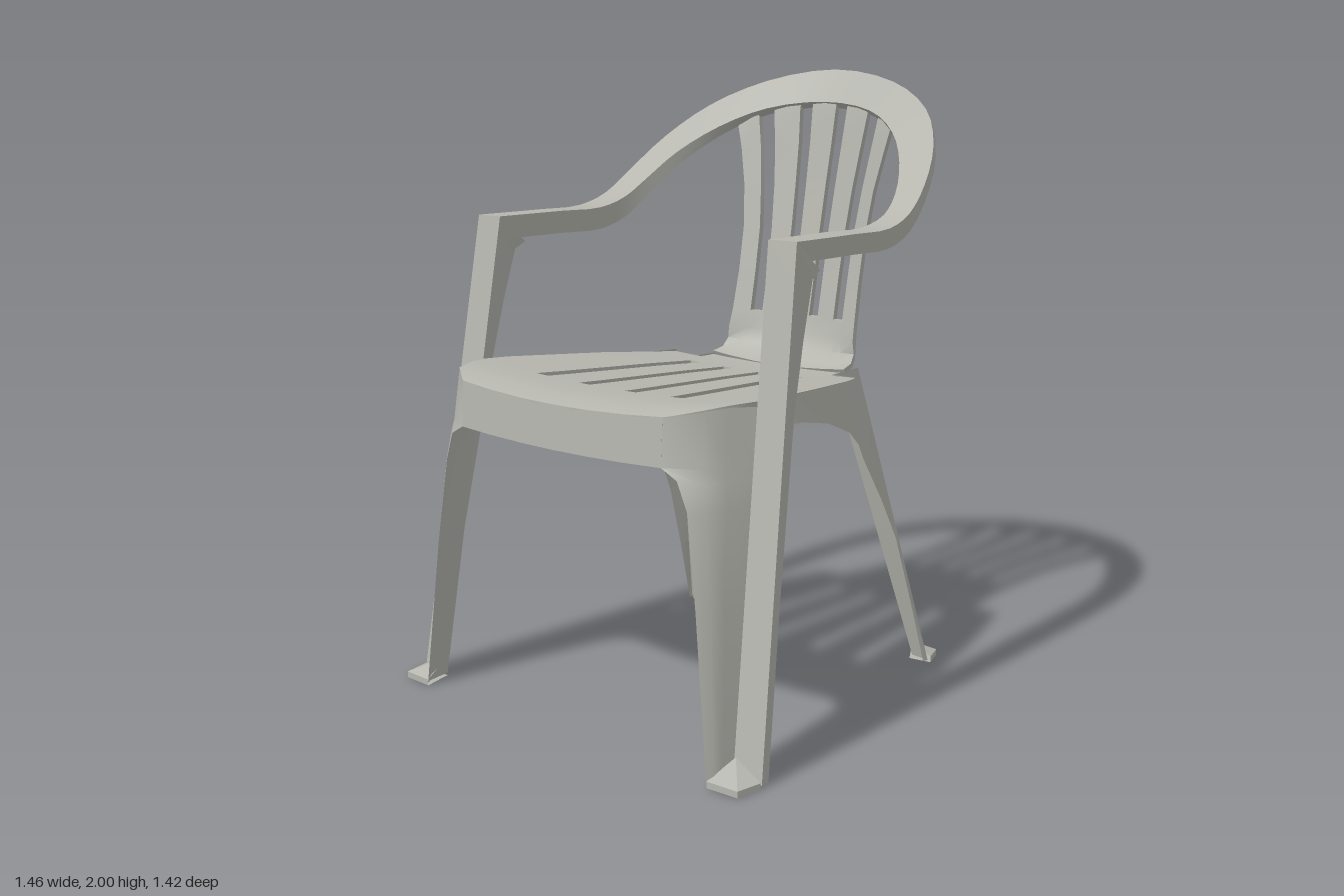
import * as THREE from 'three';
import { toCreasedNormals } from 'three/addons/utils/BufferGeometryUtils.js';

const plastic = new THREE.MeshStandardMaterial({ color: 0xb6b6af, side: THREE.DoubleSide });
plastic.name = 'warm grey plastic';

// Geometry from a list of quads or triangles (arrays of [x, y, z])
function fromFaces(faces, crease = 0.6) {
  const pos = [];
  for (const f of faces) {
    for (let i = 1; i < f.length - 1; i++) pos.push(...f[0], ...f[i], ...f[i + 1]);
  }
  const g = new THREE.BufferGeometry();
  g.setAttribute('position', new THREE.Float32BufferAttribute(pos, 3));
  return toCreasedNormals(g, crease);
}

// Faces of a sheet through rows of matching points
function sheet(rows) {
  const faces = [];
  for (let r = 0; r < rows.length - 1; r++) {
    for (let c = 0; c < rows[r].length - 1; c++) {
      faces.push([rows[r][c], rows[r][c + 1], rows[r + 1][c + 1], rows[r + 1][c]]);
    }
  }
  return faces;
}

const flip = (faces) => faces.map((f) => f.map(([x, y, z]) => [-x, y, z]).reverse());
const mix = (a, b, t) => a.map((v, i) => v + (b[i] - v) * t);

function add(group, name, faces, crease) {
  const mesh = new THREE.Mesh(fromFaces(faces, crease), plastic);
  mesh.name = name;
  group.add(mesh);
}

function addPair(group, name, faces, crease) {
  add(group, name + 'Left', faces, crease);
  add(group, name + 'Right', flip(faces), crease);
}

// Slotted sheet with thickness: rows of [y, z, edges of the strips, slotted after this row]
function slottedShell(rows, place, offset) {
  const top = rows.map((r) => {
    const xs = [...r[2].map((x) => -x).reverse(), ...r[2]];
    return xs.map((x) => place(r, x));
  });
  const low = top.map((row, i) => row.map((p) => {
    const o = offset(rows[i]);
    return [p[0], p[1] + o[0], p[2] + o[1]];
  }));
  const solid = (r, c) => r >= 0 && r < rows.length - 1 && c >= 0 && c < 9 && !(rows[r][3] && c % 2 === 1);
  const faces = [];
  for (let r = 0; r < rows.length - 1; r++) {
    for (let c = 0; c < 9; c++) {
      if (!solid(r, c)) continue;
      const wall = (r1, c1, r2, c2) => faces.push([top[r1][c1], top[r2][c2], low[r2][c2], low[r1][c1]]);
      faces.push([top[r][c], top[r][c + 1], top[r + 1][c + 1], top[r + 1][c]]);
      faces.push([low[r][c], low[r + 1][c], low[r + 1][c + 1], low[r][c + 1]]);
      if (!solid(r, c - 1)) wall(r + 1, c, r, c);
      if (!solid(r, c + 1)) wall(r, c + 1, r + 1, c + 1);
      if (!solid(r - 1, c)) wall(r, c, r, c + 1);
      if (!solid(r + 1, c)) wall(r + 1, c + 1, r + 1, c);
    }
  }
  return faces;
}

export function createModel() {
  const chair = new THREE.Group();
  chair.name = 'chair';

  // Seat: front rim to the shelf before the backrest
  const f = [0.075, 0.12, 0.26, 0.31], b = [0.055, 0.095, 0.2, 0.245];
  const seatRows = [
    [1.05, 0.70, [...f, 0.42]],
    [1.065, 0.64, [...f, 0.515]],
    [1.068, 0.56, [...f, 0.545]],
    [1.066, 0.47, [...f, 0.555], true],
    [1.06, 0.37, [...mix(f, b, 0.15), 0.553], true],
    [1.04, 0, [...mix(f, b, 0.7), 0.48], true],
    [1.027, -0.2, [...b, 0.425]],
    [1.02, -0.3, [...b, 0.4]],
    [1.02, -0.305, [...b, 0.29]],
    [1.02, -0.37, [...b, 0.285]],
  ];
  add(chair, 'seat', slottedShell(seatRows,
    (r, x) => [x, r[0] - 0.022 * (1 - (x / 0.5) ** 2), r[1] - (r[1] > 0.5 ? 0.1 * x * x : 0)],
    () => [-0.018, 0]));

  // Backrest: curved lower bend, then five slats
  const lowSlots = [0.04, 0.08, 0.155, 0.2];
  const backRows = [
    [1.0, -0.37, [...b, 0.285]],
    [1.015, -0.425, [...mix(b, lowSlots, 0.4), 0.28]],
    [1.05, -0.465, [...mix(b, lowSlots, 0.7), 0.275]],
    [1.1, -0.487, [...lowSlots, 0.27]],
    [1.16, -0.50, [...lowSlots, 0.265], true],
    [1.3, -0.527, [...lowSlots, 0.26], true],
    [1.45, -0.555, [0.04, 0.08, 0.158, 0.203], true],
    [1.6, -0.583, [0.042, 0.085, 0.168, 0.218], true],
    [1.75, -0.61, [0.046, 0.092, 0.184, 0.237], true],
    [1.87, -0.628, [0.05, 0.1, 0.2, 0.255], true],
    [1.9, -0.635, [0.05, 0.1, 0.2, 0.255]],
  ];
  [0.262, 0.278, 0.305, 0.33, 0.335].forEach((e, i) => backRows[6 + i][2].push(e));
  add(chair, 'backrest', slottedShell(backRows, (r, x) => {
    const k = (x / 0.3) ** 2, rise = Math.min(1, Math.max(0, (r[0] - 1) / 0.1));
    const droop = Math.max(0, (r[0] - 1.6) / 0.3);
    return [x, r[0] + 0.02 * k * (1 - rise) - 0.045 * k * droop, r[1] + 0.06 * k * rise];
  }, (r) => (r[0] < 1.06 ? [-0.015, -0.008] : [0, -0.02])));

  // Hoop: arms and top rail as one inverted channel
  const outer = [[0.66, 1.53, 0.385], [0.657, 1.53, 0.1], [0.655, 1.533, -0.08], [0.645, 1.57, -0.2],
    [0.625, 1.65, -0.31], [0.57, 1.765, -0.44], [0.46, 1.875, -0.56], [0.27, 1.96, -0.65], [0, 2.0, -0.69]];
  const inner = [[0.558, 1.53, 0.385], [0.556, 1.53, 0.1], [0.554, 1.53, -0.08], [0.55, 1.56, -0.2],
    [0.53, 1.62, -0.29], [0.475, 1.71, -0.39], [0.37, 1.8, -0.5], [0.22, 1.865, -0.585], [0, 1.89, -0.625]];
  const railCurve = (half) => {
    const all = [...half, ...half.slice(0, -1).reverse().map(([x, y, z]) => [-x, y, z])];
    const curve = new THREE.CatmullRomCurve3(all.map((p) => new THREE.Vector3(...p)));
    return curve.getPoints(48).map((p) => p.toArray());
  };
  const inside = railCurve(inner);
  const hoopRows = railCurve(outer).map((o, i) => {
    const n = inside[i], k = Math.min(1, Math.max(0, (o[1] - 1.53) / 0.4));
    const down = ([x, y, z], d) => [x, y - d + (d - 0.02) * k, z - 0.025 * k];
    return [down(o, 0.06), o, n, down(n, 0.075)];
  });
  add(chair, 'armAndTopRail', sheet(hoopRows));

  // Front legs: post face running from the arm to the floor, with return flanges
  const postC = (y) => mix([0.625, 0, 0.615], [0.558, 0, 0.385], y / 1.53).map((v, i) => (i === 1 ? y : v));
  const postB = (y) => mix([0.73, 0, 0.615], [0.66, 0, 0.385], y / 1.53).map((v, i) => (i === 1 ? y : v));
  const back = ([x, y, z], d, drop = 0) => [x, y - drop, z - d];
  const postRows = [[1.53, 0.11, 0.09], [1.42, 0.085, 0], [1.25, 0.06, 0], [1.05, 0.04, 0], [0.5, 0.03, 0], [0.01, 0.03, 0]]
    .map(([y, d, drop]) => [back(postC(y), y > 1 ? d : 0.004, drop), postC(y), postB(y), back(postB(y), d, drop)]);
  addPair(chair, 'frontLegPost', sheet(postRows));

  // Front leg inner panel, bending from the apron back to the post
  const panelRows = [
    [[0.42, 1.045, 0.682], [0.515, 1.063, 0.613], [0.545, 1.066, 0.53], postC(1.06)],
    [[0.42, 0.9, 0.69], [0.525, 0.9, 0.632], [0.555, 0.9, 0.56], postC(0.9)],
    [[0.475, 0.87, 0.685], [0.535, 0.86, 0.637], [0.56, 0.86, 0.57], postC(0.86)],
    [[0.51, 0.78, 0.68], [0.55, 0.78, 0.645], [0.57, 0.78, 0.58], postC(0.78)],
    [[0.55, 0.5, 0.692], [0.577, 0.5, 0.66], [0.588, 0.5, 0.61], postC(0.5)],
    [[0.605, 0.01, 0.71], [0.615, 0.01, 0.69], [0.62, 0.01, 0.655], postC(0.01)],
  ];
  addPair(chair, 'frontLegPanel', sheet(panelRows), 0.8);

  // Front apron under the seat rim
  const apronTop = [0, 0.14, 0.28, 0.42].map((x) => [x, 1.028 + 0.1 * x * x, 0.70 - 0.1 * x * x]);
  const apronLow = apronTop.map(([x, , z]) => [x, 0.892 + 0.045 * x * x, z + 0.008]);
  const apron = sheet([apronTop, apronLow]);
  add(chair, 'apron', [...apron, ...flip(apron)]);

  // Feet: small sloped pads closing the hollow of each leg
  const foot = (a, corner, side, peak) => [
    [a, corner, peak], [corner, side, peak],
    [a, corner, [corner[0], 0, corner[2]], [a[0], 0, a[2]]],
    [corner, side, [side[0], 0, side[2]], [corner[0], 0, corner[2]]],
    [[a[0], 0, a[2]], [corner[0], 0, corner[2]], [side[0], 0, side[2]], [peak[0], 0, peak[2]]],
  ];
  addPair(chair, 'frontFoot', foot([0.605, 0.02, 0.71], [0.715, 0.02, 0.705], [0.73, 0.02, 0.62], [0.628, 0.065, 0.606]), 0.1);

  // Rear legs: side panel, rear strip and inner strip
  const lerpY = (p, q) => (y) => mix(q, p, (y - q[1]) / (p[1] - q[1]));
  const legF = lerpY([0.4, 1.02, -0.3], [0.535, 0.01, -0.54]);
  const legG = lerpY([0.29, 1.01, -0.3], [0.465, 0.01, -0.55]);
  const legH = lerpY([0.275, 1.03, -0.46], [0.41, 0.01, -0.625]);
  const rearRows = [1.01, 0.75, 0.45, 0.01].map((y) => [legF(y), legG(y), legH(y)]);
  addPair(chair, 'rearLegStrips', sheet(rearRows), 0.3);
  const rearSide = [[0.475, 0.77, -0.22], [0.49, 0.62, -0.305], [0.502, 0.47, -0.38], [0.515, 0.25, -0.45], [0.53, 0.01, -0.52]]
    .map((e) => [e, legF(e[1])]);
  addPair(chair, 'rearLegSide', sheet(rearSide));
  addPair(chair, 'rearFoot', foot([0.41, 0.02, -0.63], [0.515, 0.02, -0.625], [0.54, 0.02, -0.55], [0.462, 0.065, -0.538]), 0.1);

  // Side skirt sweeping from the front post into the rear leg
  const skirt = [
    [[0.555, 1.06, 0.43], [0.578, 1.01, 0.40]],
    [[0.545, 1.055, 0.33], [0.565, 0.98, 0.325]],
    [[0.52, 1.05, 0.2], [0.537, 0.965, 0.19]],
    [[0.48, 1.035, 0], [0.51, 0.93, 0.02]],
    [[0.45, 1.027, -0.11], [0.49, 0.875, -0.12]],
    [[0.42, 1.02, -0.22], [0.478, 0.82, -0.19]],
    [[0.4, 1.02, -0.3], [0.475, 0.77, -0.22]],
  ];
  addPair(chair, 'seatSkirt', [...sheet(skirt), [[0.4, 1.02, -0.3], [0.475, 0.77, -0.22], legF(0.77)]]);

  return chair;
}
